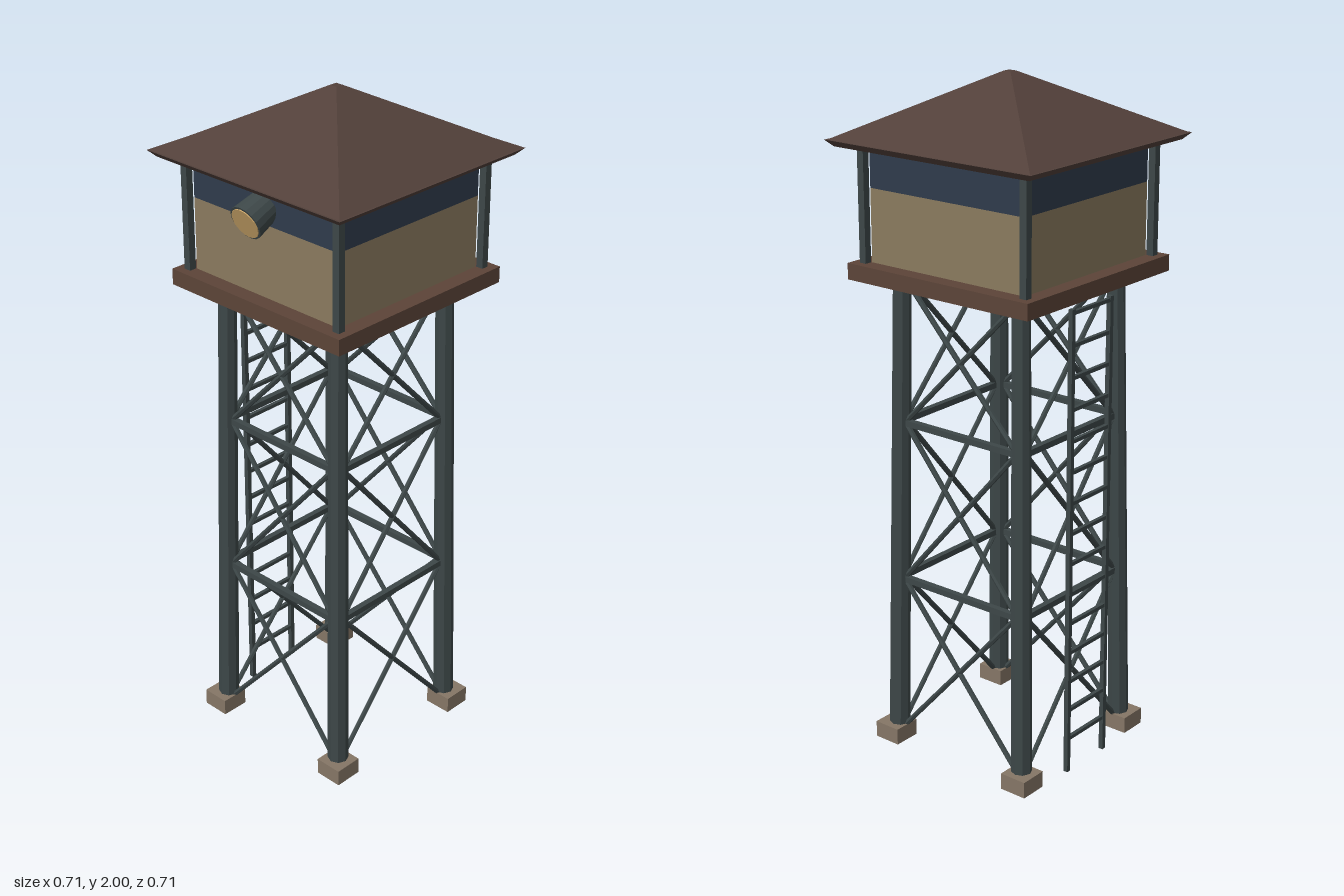
import * as THREE from 'three';

const mat = (color) => new THREE.MeshStandardMaterial({ color, flatShading: true });

export function createModel() {
  const tower = new THREE.Group();
  tower.name = 'watchtower';
  const steel = mat(0x3d4748), wood = mat(0x5c4438), tan = mat(0x8a7a5e);
  const glass = mat(0x2f3b4b), roofing = mat(0x52403a), stone = mat(0x857666), lens = mat(0xc9a468);

  const add = (name, geometry, material, x = 0, y = 0, z = 0, parent = tower) => {
    const mesh = new THREE.Mesh(geometry, material);
    mesh.name = name;
    mesh.position.set(x, y, z);
    parent.add(mesh);
    return mesh;
  };
  const box = (name, w, h, d, material, x, y, z, parent) =>
    add(name, new THREE.BoxGeometry(w, h, d), material, x, y, z, parent);
  const UP = new THREE.Vector3(0, 1, 0);
  // round bar running from a to b
  const bar = (name, a, b, rTop, rBottom, sides, parent) => {
    const dir = b.clone().sub(a);
    const mesh = add(name, new THREE.CylinderGeometry(rTop, rBottom, dir.length(), sides), steel, 0, 0, 0, parent);
    mesh.position.copy(a).lerp(b, 0.5);
    mesh.quaternion.setFromUnitVectors(UP, dir.normalize());
    return mesh;
  };
  // square frustum with half-widths at top and bottom
  const frustum = (name, top, bottom, y0, y1, material) => {
    const g = new THREE.CylinderGeometry(top * Math.SQRT2, bottom * Math.SQRT2, y1 - y0, 4);
    g.rotateY(Math.PI / 4);
    return add(name, g, material, 0, (y0 + y1) / 2, 0);
  };
  const V = (x, y, z) => new THREE.Vector3(x, y, z);
  const spread = (y) => 0.236 - 0.024 * (y / 1.43); // leg centre offset at height y

  // legs, footings and cabin corner posts
  for (const sx of [-1, 1]) for (const sz of [-1, 1]) {
    box('footing', 0.085, 0.05, 0.085, stone, sx * 0.243, 0.025, sz * 0.243);
    const b = spread(0.03), t = spread(1.44);
    bar('leg', V(sx * b, 0.03, sz * b), V(sx * t, 1.44, sz * t), 0.026, 0.031, 8);
    box('cornerPost', 0.022, 0.335, 0.022, steel, sx * 0.283, 1.64, sz * 0.283);
  }

  // cross bracing on all four faces
  const levels = [0.035, 0.525, 1.01, 1.43];
  for (let face = 0; face < 4; face++) {
    const side = new THREE.Group();
    side.name = 'braceFace';
    side.rotation.y = face * Math.PI / 2;
    tower.add(side);
    for (let i = 0; i < 3; i++) {
      const y0 = levels[i], y1 = levels[i + 1], s0 = spread(y0), s1 = spread(y1);
      for (const s of [-1, 1])
        bar('diagonalBrace', V(-s * (s0 - 0.015), y0, s0), V(s * (s1 - 0.015), y1, s1), 0.008, 0.008, 6, side);
      if (i < 2) box('girt', 2 * s1, 0.018, 0.018, steel, 0, y1, s1, side);
    }
  }

  // ladder on the -x side
  const ladder = new THREE.Group();
  ladder.name = 'ladder';
  ladder.position.x = -0.285;
  tower.add(ladder);
  for (const s of [-1, 1]) box('ladderRail', 0.014, 1.405, 0.014, steel, 0, 0.7025, s * 0.086, ladder);
  for (let i = 0; i < 15; i++) box('rung', 0.011, 0.011, 0.172, steel, 0, 0.106 + i * 0.092, 0, ladder);

  // cabin
  box('platform', 0.636, 0.047, 0.636, wood, 0, 1.455, 0);
  box('cabinWall', 0.54, 0.21, 0.54, tan, 0, 1.583, 0);
  box('windowBand', 0.54, 0.106, 0.54, glass, 0, 1.741, 0);

  // roof
  frustum('eave', 0.356, 0.337, 1.804, 1.823, roofing);
  frustum('roof', 0.012, 0.35, 1.823, 2.0, roofing);

  // searchlight, tipped downwards
  const lamp = new THREE.Group();
  lamp.name = 'searchlight';
  lamp.position.set(0, 1.711, 0.336);
  lamp.rotation.x = Math.PI / 2 + 0.38;
  tower.add(lamp);
  add('lampHousing', new THREE.CylinderGeometry(0.052, 0.046, 0.075, 16), steel, 0, -0.0375, 0, lamp);
  add('lampLens', new THREE.CylinderGeometry(0.046, 0.046, 0.004, 16), lens, 0, 0.001, 0, lamp);
  return tower;
}
